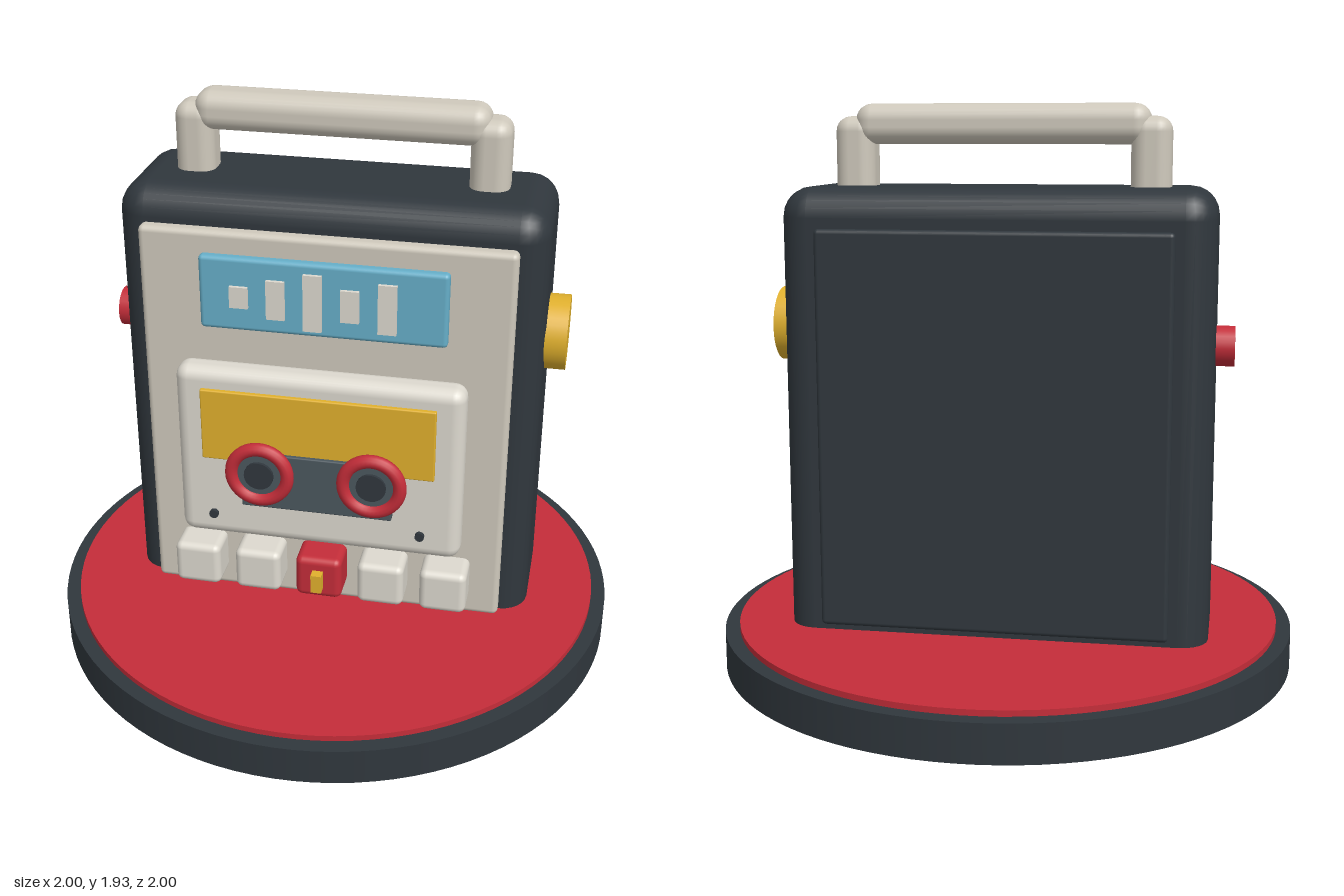
import * as THREE from 'three';
import { RoundedBoxGeometry } from 'three/addons/geometries/RoundedBoxGeometry.js';

const mat = (color) => new THREE.MeshStandardMaterial({ color });

export function createModel() {
  const model = new THREE.Group();
  const dark = mat(0x30373d), slate = mat(0x4b575e), red = mat(0xc42d39), cream = mat(0xcfc9bc);
  const pale = mat(0xddd9cf), yellow = mat(0xe0b02d), blue = mat(0x66aec8);

  const add = (name, geometry, material, x, y, z) => {
    const mesh = new THREE.Mesh(geometry, material);
    mesh.name = name;
    mesh.position.set(x, y, z);
    model.add(mesh);
    return mesh;
  };
  // Box given by its extents, with rounded edges of radius r
  const box = (name, material, [x0, x1], [y0, y1], [z0, z1], r = 0) => {
    const size = [x1 - x0, y1 - y0, z1 - z0];
    const geometry = r ? new RoundedBoxGeometry(...size, 3, r) : new THREE.BoxGeometry(...size);
    return add(name, geometry, material, (x0 + x1) / 2, (y0 + y1) / 2, (z0 + z1) / 2);
  };
  // Disc facing along a chosen axis
  const disc = (name, material, r, depth, axis, x, y, z, sides = 32) => {
    const geometry = new THREE.CylinderGeometry(r, r, depth, sides);
    if (axis === 'x') geometry.rotateZ(Math.PI / 2);
    if (axis === 'z') geometry.rotateX(Math.PI / 2);
    return add(name, geometry, material, x, y, z);
  };

  // Round stand
  disc('standBase', dark, 1, 0.13, 'y', 0, 0.065, 0, 96);
  disc('standTop', red, 0.95, 0.05, 'y', 0, 0.125, 0, 96);

  // Case with front and back panels
  box('body', dark, [-0.72, 0.72], [0.03, 1.655], [-0.335, 0.157], 0.1);
  box('frontPanel', cream, [-0.627, 0.627], [0.15, 1.54], [0.145, 0.203], 0.02);
  box('backPanel', dark, [-0.59, 0.59], [0.17, 1.52], [-0.357, -0.31], 0.015);

  // Carrying handle
  for (const s of [-1, 1]) {
    box('handlePost', cream, [s * 0.497 - 0.067, s * 0.497 + 0.067], [1.5, 1.885], [-0.178, -0.034], 0.05);
  }
  box('handleBar', cream, [-0.495, 0.495], [1.793, 1.927], [-0.181, -0.031], 0.055);

  // Level display
  box('display', blue, [-0.415, 0.415], [1.205, 1.465], [0.185, 0.232], 0.015);
  [0.075, 0.137, 0.2, 0.112, 0.174].forEach((h, i) => {
    const x = -0.278 + i * 0.124;
    box('levelBar', pale, [x - 0.031, x + 0.031], [1.33 - h / 2, 1.33 + h / 2], [0.22, 0.245]);
  });

  // Cassette
  box('cassette', pale, [-0.493, 0.493], [0.435, 1.09], [0.203, 0.313], 0.045);
  box('cassetteLabel', yellow, [-0.4, 0.4], [0.757, 1.02], [0.3, 0.328], 0.005);
  box('cassetteWindow', slate, [-0.26, 0.26], [0.592, 0.802], [0.305, 0.342], 0.005);
  for (const s of [-1, 1]) {
    add('reelRing', new THREE.TorusGeometry(0.097, 0.023, 12, 40), red, s * 0.193, 0.73, 0.353);
    disc('reelDisc', slate, 0.095, 0.025, 'z', s * 0.193, 0.73, 0.345);
    disc('reelHub', dark, 0.051, 0.03, 'z', s * 0.193, 0.73, 0.353, 20);
    disc('screw', dark, 0.016, 0.014, 'z', s * 0.36, 0.55, 0.35, 16);
  }

  // Row of keys, the middle one red with a marker
  for (let i = -2; i <= 2; i++) {
    const x = i * 0.22;
    box('key', i ? pale : red, [x - 0.082, x + 0.082], [0.222, 0.382], [0.18, 0.32], 0.025);
  }
  box('keyMarker', yellow, [-0.019, 0.019], [0.267, 0.337], [0.31, 0.355]);

  // Side controls
  disc('dial', yellow, 0.128, 0.11, 'x', 0.735, 1.17, -0.052);
  disc('sideButton', red, 0.069, 0.1, 'x', -0.733, 1.123, -0.057, 20);

  return model;
}
